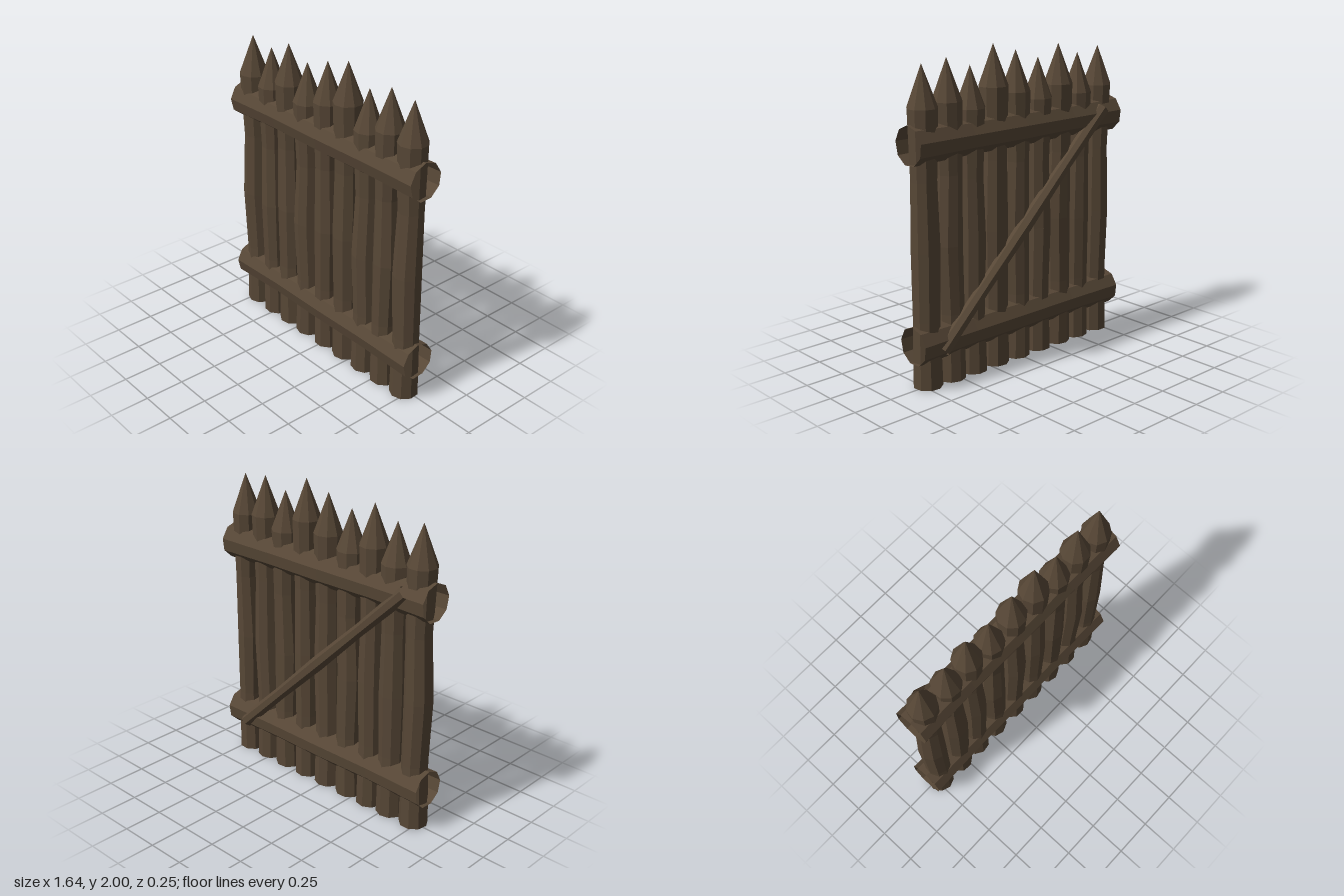
import * as THREE from 'three';

const wood = new THREE.MeshStandardMaterial({
  color: 0x574736, flatShading: true, roughness: 1, side: THREE.DoubleSide,
});

// Open hewn log along +y from 0 to length; each ring is [radius, shiftX, shiftZ]
function logGeometry(length, sides, rings, turn = 0) {
  const geo = new THREE.CylinderGeometry(1, 1, length, sides, rings.length - 1, true, turn);
  geo.translate(0, length / 2, 0);
  const p = geo.attributes.position;
  for (let i = 0; i < p.count; i++) {
    const k = Math.round((p.getY(i) / length) * (rings.length - 1));
    const [r, sx, sz] = rings[k];
    p.setX(i, p.getX(i) * r + sx);
    p.setZ(i, p.getZ(i) * r + sz);
  }
  geo.computeVertexNormals();
  return geo;
}

function addMesh(parent, name, geo) {
  const mesh = new THREE.Mesh(geo, wood);
  mesh.name = name;
  parent.add(mesh);
  return mesh;
}

export function createModel() {
  const model = new THREE.Group();
  model.name = 'palisadeGate';

  // Sharpened upright stakes: [x, tip height]
  const stakes = [
    [-0.715, 1.92], [-0.53, 1.89], [-0.36, 1.96], [-0.185, 1.89], [0, 1.95],
    [0.18, 2.0], [0.36, 1.89], [0.535, 1.95], [0.715, 1.93],
  ];
  stakes.forEach(([x, tip], i) => {
    const stake = new THREE.Group();
    stake.name = 'stake' + (i + 1);
    stake.position.set(x, 0, 0.01);
    const shoulder = tip - 0.25;
    const sway = 0.006 * Math.sin(i * 2.3 + 1);
    addMesh(stake, 'stakeShaft', logGeometry(shoulder, 9, [
      [0.091, 0, 0],
      [0.083, sway, 0],
      [0.089, -sway, 0.003],
      [0.079, sway, -0.002],
      [0.091, 0, 0],
    ], i * 0.25));
    const point = new THREE.ConeGeometry(0.092, 0.25, 9, 1, true, i * 0.25);
    addMesh(stake, 'stakePoint', point).position.y = tip - 0.125;
    model.add(stake);
  });

  // Two horizontal rails that the stakes pass through
  for (const [name, y] of [['upperRail', 1.475], ['lowerRail', 0.275]]) {
    const rail = addMesh(model, name, logGeometry(1.64, 9, [
      [0.119, 0, 0], [0.108, 0, 0], [0.114, 0, 0], [0.111, 0, 0], [0.119, 0, 0],
    ], -0.12));
    rail.rotation.z = -Math.PI / 2;
    rail.position.set(-0.82, y, 0.007);
  }

  // Diagonal brace across the back
  const from = new THREE.Vector3(-0.675, 1.525, -0.08);
  const to = new THREE.Vector3(0.67, 0.235, -0.08);
  const along = to.clone().sub(from);
  const brace = addMesh(model, 'diagonalBrace', logGeometry(along.length(), 7, [
    [0.046, 0, 0], [0.04, 0, 0], [0.048, 0, 0], [0.041, 0, 0], [0.046, 0, 0],
  ]));
  brace.position.copy(from);
  brace.quaternion.setFromUnitVectors(new THREE.Vector3(0, 1, 0), along.normalize());

  return model;
}
